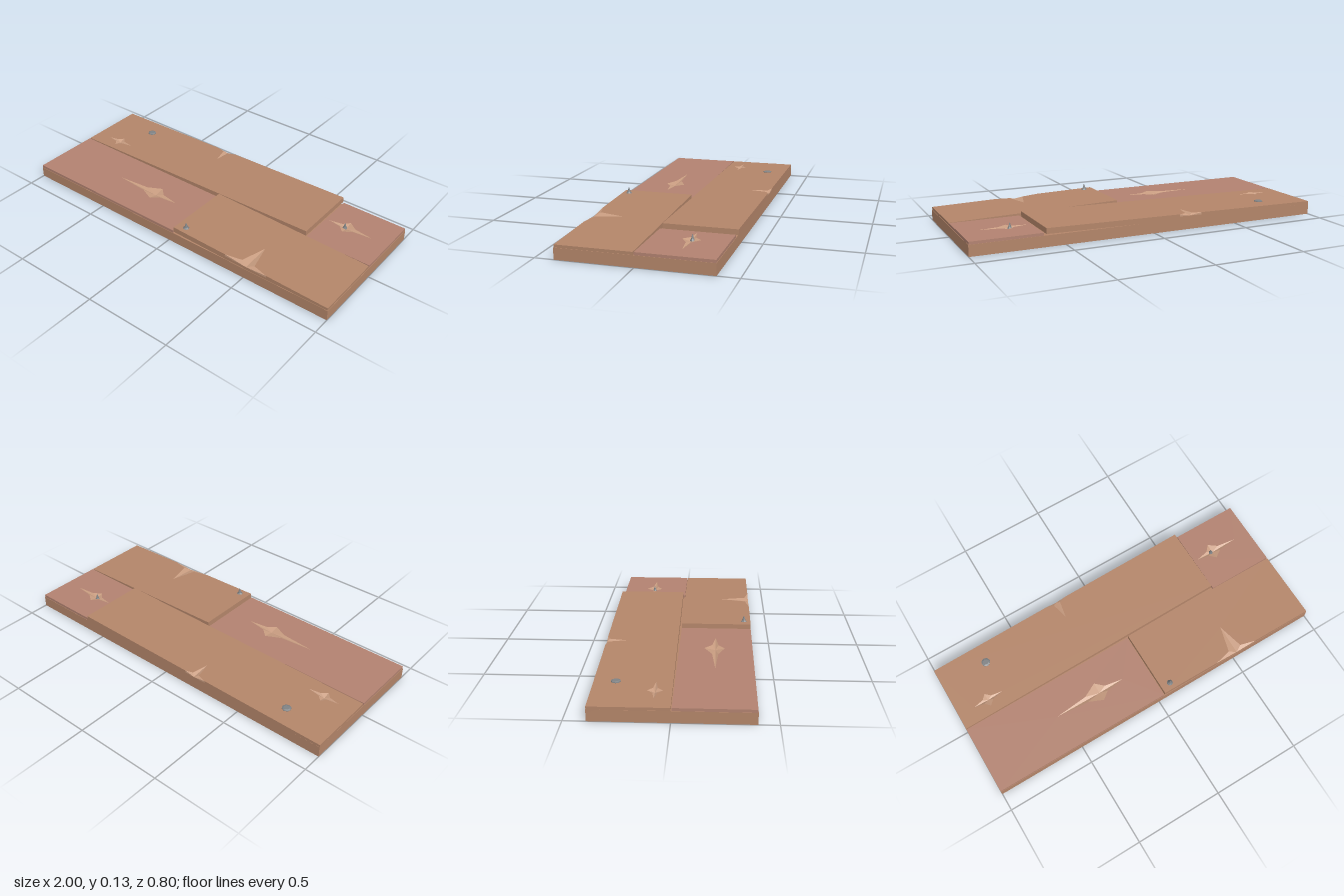
import * as THREE from 'three';

const CUT = 0.012; // depth of the splintered cuts
const wood = new THREE.MeshStandardMaterial({ color: 0xb38569, flatShading: true });
const reddishWood = new THREE.MeshStandardMaterial({ color: 0xb28270, flatShading: true });
const rawWood = new THREE.MeshStandardMaterial({ color: 0xc89c80, flatShading: true, side: THREE.DoubleSide });
const iron = new THREE.MeshStandardMaterial({ color: 0x7f8284, flatShading: true });

function addMesh(parent, name, geometry, material) {
  const mesh = new THREE.Mesh(geometry, material);
  mesh.name = name;
  parent.add(mesh);
  return mesh;
}

// Four-pointed chip outline as [x, z] points, with its deepest point in the middle
function chip(cx, cz, left, right, back, front) {
  const k = 0.3;
  return {
    apex: [cx, cz],
    points: [
      [cx - left, cz], [cx - left * k, cz - back * k], [cx, cz - back], [cx + right * k, cz - back * k],
      [cx + right, cz], [cx + right * k, cz + front * k], [cx, cz + front], [cx - left * k, cz + front * k],
    ],
  };
}

// Splinter open to a long edge, listed from -x to +x
function notch(cx, edge, tip, left, right) {
  const z = edge + (tip - edge) * 0.13;
  return {
    apex: [cx, edge],
    points: [[cx - left, edge], [cx - left * 0.3, z], [cx, tip], [cx + right * 0.3, z], [cx + right, edge]],
  };
}

// Sloping raw wood from the rim of a cut down to its deepest point
function cutGeometry({ points, apex }, open) {
  const v = [];
  const low = [apex[0], -CUT + 0.0005, apex[1]];
  const top = ([x, z]) => [x, 0, z];
  const count = open ? points.length - 1 : points.length;
  for (let i = 0; i < count; i++) {
    v.push(...top(points[i]), ...low, ...top(points[(i + 1) % points.length]));
  }
  if (open) {
    for (const p of [points[0], points[points.length - 1]]) v.push(...top(p), p[0], -CUT, p[1], ...low);
  }
  const geometry = new THREE.BufferGeometry();
  geometry.setAttribute('position', new THREE.Float32BufferAttribute(v, 3));
  geometry.computeVertexNormals();
  return geometry;
}

// Plank with its top at local y = 0: solid lower board plus a top layer holding the cuts
function plank({ name, x0, x1, z0, z1, thickness, material, chips = [], backNotch, frontNotch }) {
  const group = new THREE.Group();
  group.name = name;
  const board = new THREE.BoxGeometry(x1 - x0, thickness - CUT, z1 - z0);
  board.translate((x0 + x1) / 2, -(thickness + CUT) / 2, (z0 + z1) / 2);
  addMesh(group, name + 'Board', board, material);

  const outline = [[x0, z1], ...(frontNotch ? frontNotch.points : []), [x1, z1],
    [x1, z0], ...(backNotch ? [...backNotch.points].reverse() : []), [x0, z0]];
  const toVectors = (list) => list.map(([x, z]) => new THREE.Vector2(x, -z));
  const shape = new THREE.Shape(toVectors(outline));
  for (const c of chips) shape.holes.push(new THREE.Path(toVectors(c.points)));
  const layer = new THREE.ExtrudeGeometry(shape, { depth: CUT, bevelEnabled: false });
  layer.rotateX(-Math.PI / 2).translate(0, -CUT, 0);
  addMesh(group, name + 'Surface', layer, material);

  for (const c of chips) addMesh(group, 'splinteredChip', cutGeometry(c, false), rawWood);
  for (const n of [backNotch, frontNotch]) {
    if (n) addMesh(group, 'splinteredEdge', cutGeometry(n, true), rawWood);
  }
  return group;
}

// Turned nail from [radius, height] points
function nail(parent, name, x, y, z, profile) {
  const points = profile.map(([r, h]) => new THREE.Vector2(r, h));
  addMesh(parent, name, new THREE.LatheGeometry(points, 8), iron).position.set(x, y, z);
}

// Wraps a plank so that it turns about a hinge at its low end
function hinged(content, x, y, tilt, yaw = 0) {
  const hinge = new THREE.Group();
  hinge.name = content.name + 'Hinge';
  content.position.x = -x;
  hinge.position.set(x, y, 0);
  hinge.rotation.set(0, yaw, tilt);
  hinge.add(content);
  return hinge;
}

export function createModel() {
  const model = new THREE.Group();
  model.name = 'plankFloor';

  // Base slab
  addMesh(model, 'base', new THREE.BoxGeometry(2, 0.06, 0.79).translate(0, 0.03, 0.005), wood);

  // Planks lying flat
  const frontRight = plank({
    name: 'frontRightPlank', x0: -0.998, x1: 0.03, z0: 0.005, z1: 0.398, thickness: 0.017,
    material: reddishWood, chips: [chip(-0.27, 0.2, 0.27, 0.15, 0.06, 0.05)],
  });
  const backLeft = plank({
    name: 'backLeftPlank', x0: 0.618, x1: 0.998, z0: -0.388, z1: 0, thickness: 0.017,
    material: reddishWood, chips: [chip(0.745, -0.2, 0.105, 0.155, 0.05, 0.045)],
  });
  for (const p of [frontRight, backLeft]) {
    p.position.y = 0.075;
    model.add(p);
  }

  // Long back plank, lifted at its left end and slightly skewed
  const back = plank({
    name: 'backLongPlank', x0: -0.998, x1: 0.61, z0: -0.389, z1: 0, thickness: 0.03, material: wood,
    chips: [chip(-0.82, -0.083, 0.085, 0.095, 0.038, 0.04)],
    backNotch: notch(-0.205, -0.389, -0.28, 0.075, 0.06),
  });
  model.add(hinged(back, -1, 0.075, Math.atan(0.025 / 1.61), 0.0065));

  // Short front plank, lifted at its right end
  const front = plank({
    name: 'frontLeftPlank', x0: 0.035, x1: 0.998, z0: 0.005, z1: 0.398, thickness: 0.03, material: wood,
    frontNotch: notch(0.515, 0.398, 0.23, 0.135, 0.125),
  });
  model.add(hinged(front, 1, 0.075, -Math.atan(0.025 / 0.965)));

  // Nails: one flat head and two protruding points
  nail(back, 'nailHead', -0.725, 0, -0.28, [[0.025, -0.004], [0.025, 0.003], [0.016, 0.007], [0, 0.007]]);
  nail(front, 'nailPoint', 0.09, 0, 0.36, [[0.019, -0.002], [0.01, 0.008], [0, 0.036]]);
  nail(backLeft, 'smallNailPoint', 0.735, 0, -0.203, [[0.014, -0.011], [0.008, 0], [0.004, 0.013], [0, 0.025]]);

  return model;
}
